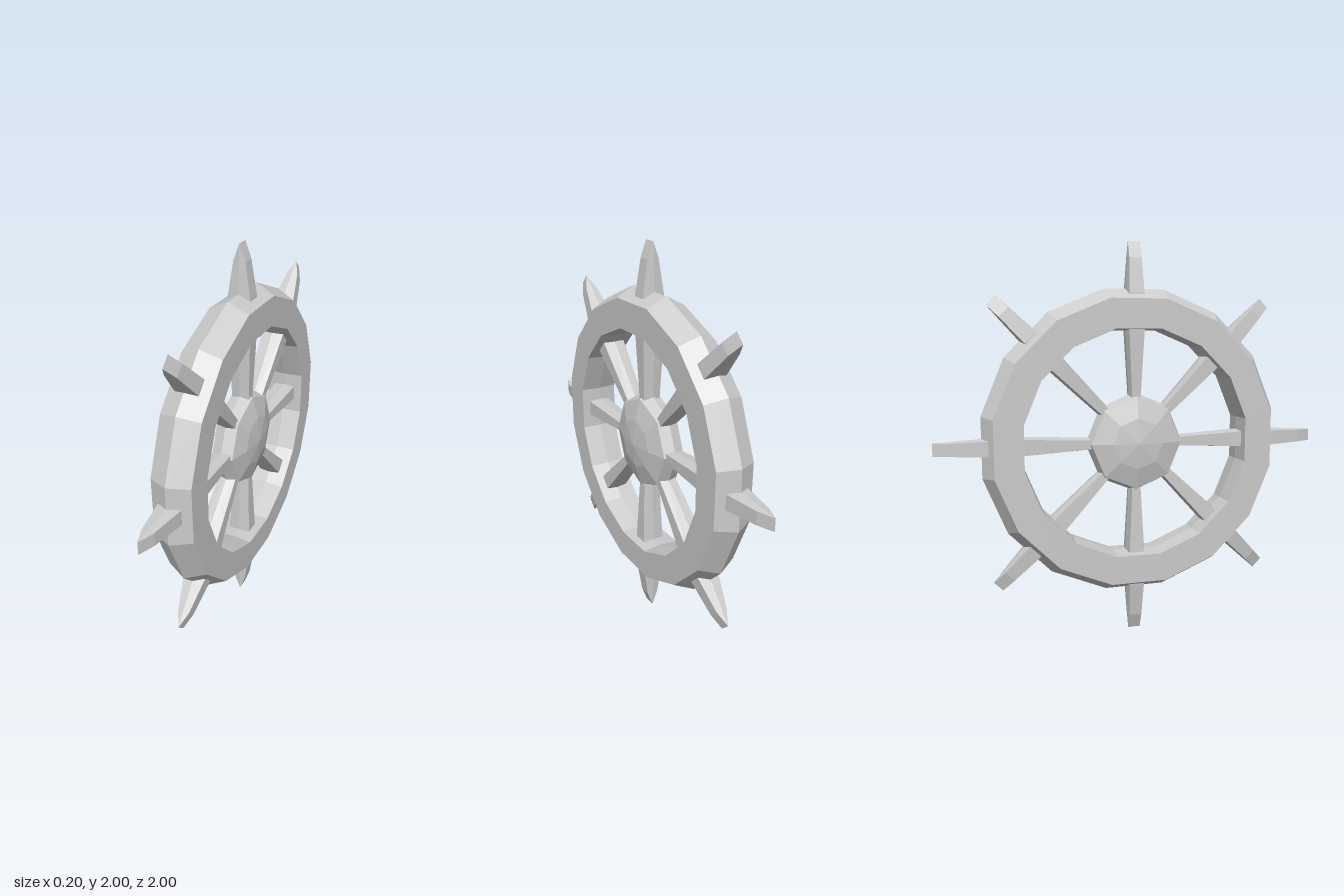
import * as THREE from 'three';

const material = new THREE.MeshStandardMaterial({ color: 0xcccccc, flatShading: true });

// Faceted ring or disc turned about the x axis; profile points are [radius, x]
function turned(name, profile, sides, phase) {
  const points = profile.map(([r, x]) => new THREE.Vector2(r, x));
  const geometry = new THREE.LatheGeometry(points, sides, phase);
  geometry.rotateZ(-Math.PI / 2);
  const mesh = new THREE.Mesh(geometry, material);
  mesh.name = name;
  return mesh;
}

// Loft of six-sided sections along y: [y, half depth x, half width at faces, half width at ridge]
function loft(sections) {
  const positions = [];
  const index = [];
  for (const [y, w, face, ridge] of sections) {
    positions.push(w, y, face, 0, y, ridge, -w, y, face, -w, y, -face, 0, y, -ridge, w, y, -face);
  }
  for (let s = 0; s < sections.length - 1; s++) {
    for (let i = 0; i < 6; i++) {
      const a = s * 6 + i;
      const b = s * 6 + (i + 1) % 6;
      index.push(b, a, a + 6, b, a + 6, b + 6);
    }
  }
  const geometry = new THREE.BufferGeometry();
  geometry.setAttribute('position', new THREE.Float32BufferAttribute(positions, 3));
  geometry.setIndex(index);
  geometry.computeVertexNormals();
  return geometry;
}

export function createModel() {
  const wheel = new THREE.Group();
  wheel.name = 'shipWheel';
  wheel.position.y = 1;

  // Sixteen-sided rim with flats facing the spokes; radii below are to the flats
  const k = 1 / Math.cos(Math.PI / 16);
  const rimProfile = [
    [0.575, -0.1], [0.72, -0.1], [0.77, 0], [0.72, 0.1],
    [0.575, 0.1], [0.565, 0], [0.575, -0.1],
  ].map(([r, x]) => [r * k, x]);
  wheel.add(turned('rim', rimProfile, 16, Math.PI / 16));

  // Eight-sided domed hub
  wheel.add(turned('hub', [
    [0, -0.1], [0.13, -0.085], [0.235, -0.055], [0.255, 0],
    [0.235, 0.055], [0.13, 0.085], [0, 0.1],
  ], 8, 0));

  // Spokes flare from the hub to the rim; handles taper to a wedge
  const spokeGeometry = loft([
    [0.15, 0.042, 0.018, 0.026],
    [0.62, 0.06, 0.042, 0.05],
  ]);
  const handleGeometry = loft([
    [0.66, 0.065, 0.04, 0.05],
    [0.75, 0.057, 0.038, 0.046],
    [0.92, 0.03, 0.032, 0.037],
    [1.0, 0, 0.032, 0.032],
  ]);
  for (let i = 0; i < 8; i++) {
    const arm = new THREE.Group();
    arm.name = 'arm' + (i + 1);
    const spoke = new THREE.Mesh(spokeGeometry, material);
    spoke.name = 'spoke';
    const handle = new THREE.Mesh(handleGeometry, material);
    handle.name = 'handle';
    arm.add(spoke, handle);
    arm.rotation.x = i * Math.PI / 4;
    wheel.add(arm);
  }

  const model = new THREE.Group();
  model.add(wheel);
  return model;
}
